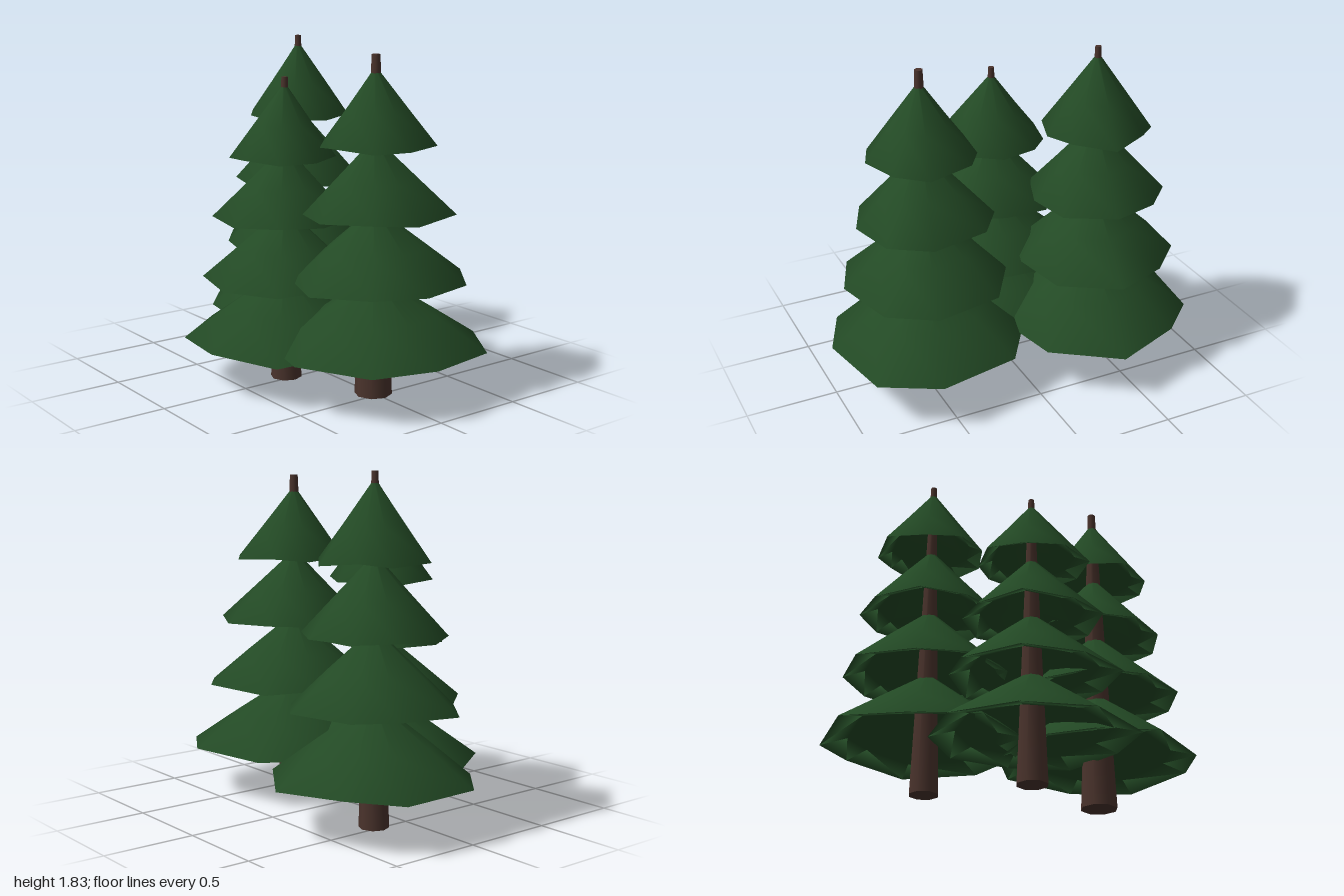
import * as THREE from 'three';

const needles = new THREE.MeshStandardMaterial({ color: 0x25492a });
needles.name = 'needle green';
needles.color.set(0x234a25);
const bark = new THREE.MeshStandardMaterial({ color: 0x4a332c });
bark.name = 'bark brown';

// Irregular nine-sided rims: angle in degrees (counter-clockwise from +x), radius
const trees = [
  {
    name: 'leftRearTree', x: -0.465, z: -0.19, top: 1.83, trunk: 0.08, tip: 0.017,
    base: 0.27, step: 0.37, height: 0.395,
    rim: [[-3, 0.51], [37, 0.546], [81, 0.566], [124, 0.51], [157, 0.547], [199.5, 0.57], [240, 0.51], [280, 0.54], [318, 0.53]],
  },
  {
    name: 'middleFrontTree', x: -0.04, z: 0.205, top: 1.65, trunk: 0.085, tip: 0.017,
    base: 0.24, step: 0.33, height: 0.37,
    rim: [[0, 0.5], [40, 0.52], [80, 0.46], [120, 0.52], [160, 0.53], [195, 0.55], [237, 0.553], [279, 0.54], [320, 0.57]],
  },
  {
    name: 'rightTree', x: 0.46, z: -0.005, top: 1.79, trunk: 0.1, tip: 0.022,
    base: 0.265, step: 0.355, height: 0.38,
    rim: [[-3, 0.54], [42, 0.595], [76, 0.597], [123, 0.57], [160, 0.54], [200, 0.54], [240, 0.53], [276, 0.555], [320, 0.53]],
  },
];
const tierScale = [1, 0.83, 0.69, 0.55];

// One hollow skirt of branches: outside from apex to rim, then back up underneath
function skirt(rim, scale, height, seed, trunkRadius) {
  const n = rim.length;
  // [share of rim radius, minimum radius, height share, rim wobble share]
  const rings = [
    [0, 0.015, 1, 0],
    [0.56, 0, 0.46, 0.3],
    [1, 0, 0, 1],
    [0.74, 0, 0.1, 0.8],
    [0, trunkRadius * 0.6, 0.55, 0],
  ];
  const pos = [];
  const index = [];
  rings.forEach(([share, min, h, wobble], i) => {
    rim.forEach(([deg, radius], j) => {
      const a = THREE.MathUtils.degToRad(deg);
      const vary = 1 + 0.03 * Math.sin(seed * 3.1 + j * 2.3) * (seed % 4 ? 1 : 0);
      const r = Math.max(radius * scale * share * vary, min);
      const y = height * h + wobble * 0.01 * Math.sin(seed * 1.7 + j * 2.9);
      pos.push(Math.cos(a) * r, y, -Math.sin(a) * r);
      if (i === rings.length - 1) return;
      const k = (j + 1) % n;
      const [p, q, s, t] = [i * n + j, i * n + k, (i + 1) * n + j, (i + 1) * n + k];
      index.push(p, s, t, p, t, q);
    });
  });
  const geo = new THREE.BufferGeometry();
  geo.setAttribute('position', new THREE.Float32BufferAttribute(pos, 3));
  geo.setIndex(index);
  geo.computeVertexNormals();
  return geo;
}

export function createModel() {
  const model = new THREE.Group();
  model.name = 'firTrees';
  trees.forEach((t, n) => {
    const tree = new THREE.Group();
    tree.name = t.name;
    tree.position.set(t.x, 0, t.z);

    // Tapered trunk running through to the bare tip
    const trunk = new THREE.Mesh(new THREE.CylinderGeometry(t.tip, t.trunk, t.top, 8), bark);
    trunk.name = 'trunk';
    trunk.position.y = t.top / 2;
    tree.add(trunk);

    // Four skirts of branches, smaller towards the top
    tierScale.forEach((scale, i) => {
      const y = t.base + i * t.step;
      const trunkRadius = THREE.MathUtils.lerp(t.trunk, t.tip, y / t.top);
      const branches = new THREE.Mesh(skirt(t.rim, scale, t.height, n * 4 + i, trunkRadius), needles);
      branches.name = 'branchTier' + (i + 1);
      branches.position.y = y;
      tree.add(branches);
    });
    model.add(tree);
  });
  return model;
}
